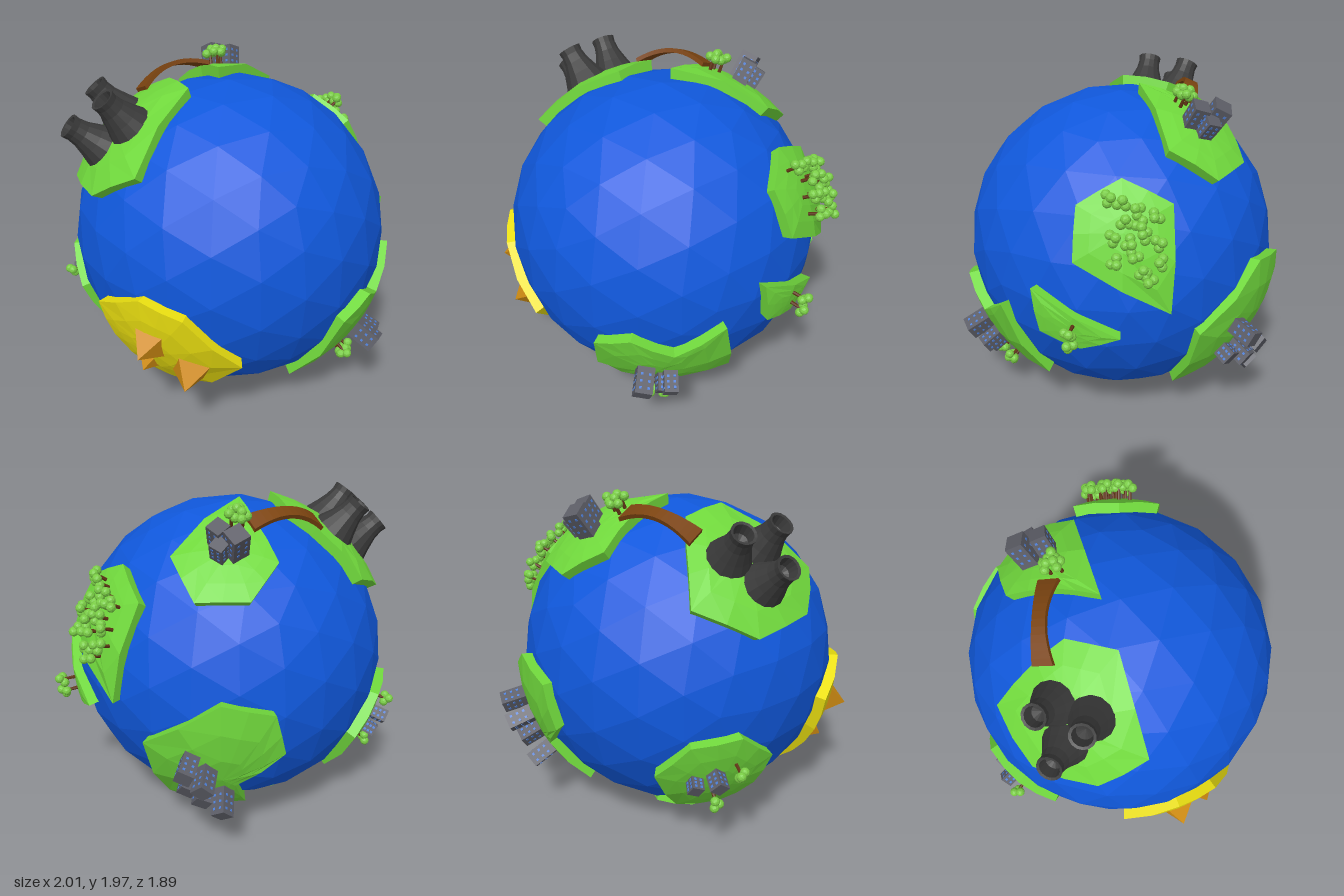
import * as THREE from 'three';

const C = new THREE.Vector3(-0.07, 0.98, 0.05); // globe centre
const SEA = 0.915, LAND = 0.965;
const V = (x, y, z) => new THREE.Vector3(x, y, z);
const mat = (color, side = THREE.FrontSide) => new THREE.MeshStandardMaterial({ color, flatShading: true, side });
const M = {
  sea: mat(0x1058dc), grass: mat(0x70d83c), sand: mat(0xeadf10), wood: mat(0x7a4310), trunk: mat(0x5e3414),
  leaf: mat(0x79cc45), rock: mat(0x3a3a3a, THREE.DoubleSide), wall: mat(0x5c5d66), glass: mat(0x4f80d8), stone: mat(0xd08c12),
};

// Directions from the globe centre; two coordinates are given, the third follows from radius r
const third = (a, b, r) => Math.sqrt(Math.max(0, r * r - a * a - b * b));
const front = (x, y, r = LAND) => V(x - C.x, y - C.y, third(x - C.x, y - C.y, r)).normalize();
const side = (z, y, r = LAND) => V(third(z - C.z, y - C.y, r), y - C.y, z - C.z).normalize();
const top = (x, z, r = LAND, s = 1) => V(x - C.x, s * third(x - C.x, z - C.z, r), z - C.z).normalize();
const under = (x, z) => top(x, z, LAND, -1);
const at = (x, y, z) => V(x, y, z).sub(C).normalize();

function mesh(name, geometry, material) {
  const m = new THREE.Mesh(geometry, material);
  m.name = name;
  return m;
}

// Stand an object on the globe, its y axis pointing outward
function place(object, dir, r, spin = 0) {
  object.position.copy(dir).multiplyScalar(r);
  object.quaternion.setFromUnitVectors(V(0, 1, 0), dir);
  object.rotateY(spin);
  return object;
}

// Raised land: rings from the middle to the outline, then a wall down into the sea
function land(name, corners, material) {
  const mid = corners.reduce((s, p) => s.add(p), V(0, 0, 0)).normalize();
  const turn = V(0, 0, 0);
  corners.forEach((p, i) => turn.add(p.clone().cross(corners[(i + 1) % corners.length])));
  if (turn.dot(mid) < 0) corners.reverse();
  const outline = [];
  corners.forEach((p, i) => {
    const q = corners[(i + 1) % corners.length];
    outline.push(p, p.clone().lerp(q, 0.5).normalize());
  });
  const n = outline.length, rings = 3, pos = [], index = [];
  const push = (d, r) => pos.push(d.x * r, d.y * r, d.z * r);
  push(mid, LAND);
  for (let k = 1; k <= rings; k++)
    for (const p of outline) push(mid.clone().lerp(p, k / rings).normalize(), LAND);
  for (const p of outline) push(p, 0.89);
  for (let i = 0; i < n; i++) {
    const j = (i + 1) % n;
    index.push(0, 1 + i, 1 + j);
    for (let k = 0; k < rings; k++) {
      const a = 1 + k * n, b = a + n;
      index.push(a + i, b + i, b + j, a + i, b + j, a + j);
    }
  }
  const g = new THREE.BufferGeometry();
  g.setAttribute('position', new THREE.Float32BufferAttribute(pos, 3));
  g.setIndex(index);
  g.computeVertexNormals();
  return mesh(name, g, material);
}

const trunkGeo = new THREE.CylinderGeometry(0.008, 0.011, 0.08, 6).translate(0, 0.04, 0);
const leafGeo = new THREE.IcosahedronGeometry(0.027, 1);
function tree() {
  const g = new THREE.Group();
  g.name = 'tree';
  g.add(mesh('trunk', trunkGeo, M.trunk));
  for (const [x, y, z] of [[0.022, 0.075, 0], [-0.018, 0.08, 0.016], [-0.004, 0.1, -0.014]]) {
    const leaf = mesh('foliage', leafGeo, M.leaf);
    leaf.position.set(x, y, z);
    g.add(leaf);
  }
  return g;
}

const paneGeo = new THREE.BoxGeometry(0.014, 0.014, 0.004);
function building(w, h) {
  const g = new THREE.Group();
  g.name = 'building';
  g.add(mesh('walls', new THREE.BoxGeometry(w, h, w).translate(0, h / 2, 0), M.wall));
  for (let f = 0; f < 4; f++) {
    const face = new THREE.Group();
    face.name = 'windows';
    face.rotation.y = f * Math.PI / 2;
    for (let row = 0; row < 3; row++)
      for (const s of [-1, 1]) {
        const pane = mesh('window', paneGeo, M.glass);
        pane.position.set(s * w * 0.23, h * (0.35 + row * 0.23), w / 2);
        face.add(pane);
      }
    g.add(face);
  }
  return g;
}

// Arched footbridge, narrower in the middle
function bridge(a, b) {
  const g = new THREE.BoxGeometry(1, 0.025, 0.11, 12, 1, 1);
  const across = b.clone().cross(a).normalize(), p = g.attributes.position;
  for (let i = 0; i < p.count; i++) {
    const t = p.getX(i) + 0.5, arch = Math.sin(t * Math.PI);
    const v = a.clone().lerp(b, t).normalize().multiplyScalar(0.972 + 0.045 * arch + p.getY(i));
    v.addScaledVector(across, -p.getZ(i) * (1.1 - 0.4 * arch));
    p.setXYZ(i, v.x, v.y, v.z);
  }
  g.computeVertexNormals();
  return mesh('bridge', g, mat(0x7a4310, THREE.DoubleSide));
}

export function createModel() {
  const model = new THREE.Group(), globe = new THREE.Group();
  model.name = 'planet';
  globe.name = 'globe';
  globe.position.copy(C);
  model.add(globe);
  globe.add(mesh('ocean', new THREE.IcosahedronGeometry(SEA, 3), M.sea));

  // Land masses
  globe.add(
    land('volcanoLand', [top(-0.67, -0.47), top(-0.46, -0.29), top(-0.34, -0.17), top(-0.34, 0.11), top(-0.76, 0.38),
      top(-0.93, 0.15), top(-0.91, -0.22)], M.grass),
    land('northLand', [top(0.07, -0.69), top(0.34, -0.59), top(0.39, -0.33), top(-0.09, -0.05), top(-0.09, -0.3),
      top(-0.13, -0.56)], M.grass),
    land('forestLand', [side(0.08, 1.53), side(-0.13, 1.65), side(-0.4, 1.53), side(-0.44, 0.98), side(0.065, 1.265)], M.grass),
    land('smallIsland', [side(0.3, 1.08), side(-0.19, 0.84), side(0.03, 0.75), side(0.26, 0.82)], M.grass),
    land('frontLand', [front(0.19, 0.75), front(0.4, 0.83), front(0.57, 0.7), front(0.77, 0.89), side(0.3, 0.38),
      front(0.19, 0.155), front(0.01, 0.26)], M.grass),
    land('southLand', [under(-0.04, 0.14), under(-0.04, -0.16), under(-0.25, -0.3), under(-0.5, -0.25), under(-0.53, 0.08),
      under(-0.3, 0.28)], M.grass),
    land('backLand', [at(0.64, 0.79, -0.58), at(0.28, 1.1, -0.84), at(0, 1.03, -0.91), at(-0.07, 0.77, -0.89),
      at(0.17, 0.53, -0.77), at(0.04, 0.26, -0.58), at(0.21, 0.23, -0.49), at(0.45, 0.31, -0.4)], M.grass),
    land('backLeftLand', [at(-0.94, 0.86, -0.35), at(-0.785, 0.83, -0.58), at(-0.6, 0.62, -0.66), at(-0.53, 0.3, -0.42),
      at(-0.67, 0.27, -0.21), at(-0.85, 0.45, -0.13), at(-0.97, 0.68, -0.13)], M.grass),
    land('desert', [front(-0.99, 0.85), front(-0.86, 0.99), front(-0.69, 0.92), front(-0.39, 0.58), front(-0.53, 0.21),
      front(-0.74, 0.37), front(-0.92, 0.62)], M.sand),
  );

  // Hollow volcano cones
  const cone = new THREE.LatheGeometry([[0.135, -0.02], [0.1, 0.06], [0.074, 0.13], [0.066, 0.18], [0.07, 0.215],
    [0.055, 0.212], [0.045, 0.15], [0, 0.12]].map(([x, y]) => new THREE.Vector2(x, y)), 14);
  for (const d of [V(-0.69, 0.9, -0.25), V(-0.88, 0.74, -0.13), V(-0.72, 0.9, 0)])
    globe.add(place(mesh('volcano', cone, M.rock), d.normalize(), 0.955));

  globe.add(bridge(top(-0.48, -0.24), top(-0.05, -0.33)));

  // Desert pyramids
  for (const [x, y, s] of [[-0.84, 0.69, 0.115], [-0.64, 0.51, 0.125], [-0.81, 0.49, 0.07]]) {
    const g = new THREE.ConeGeometry(s, s * 1.1, 4).rotateY(Math.PI / 4).translate(0, s * 0.55, 0);
    globe.add(place(mesh('pyramid', g, M.stone), front(x, y, 1), 0.955, 0.5));
  }

  // Trees
  const forest = [[-0.1, 1.6], [-0.17, 1.58], [-0.25, 1.55], [-0.34, 1.52], [-0.27, 1.49], [-0.15, 1.43], [-0.2, 1.5],
    [-0.3, 1.44], [-0.26, 1.35], [-0.17, 1.32], [-0.37, 1.4], [-0.31, 1.27], [-0.39, 1.31], [-0.34, 1.23], [-0.23, 1.41]];
  const trees = [
    ...forest.map(([z, y]) => side(z, y, 1.04)),
    side(0.06, 0.9, 1.04), side(0.06, 0.82, 1.04),
    top(0, -0.37, 1.05), top(0.06, -0.35, 1.05), top(0.02, -0.31, 1.05),
    front(0.39, 0.3, 1.05), front(0.45, 0.28, 1.05), front(0.41, 0.25, 1.05),
    V(-0.9, -0.325, -0.43).normalize(), V(-0.75, -0.57, -0.456).normalize(),
  ];
  trees.forEach((d, i) => globe.add(place(tree(), d, 0.955, i * 1.3)));

  // Town buildings: direction, width, height
  const towns = [
    [front(0.45, 0.49, 1.07), 0.1, 0.17], [front(0.5, 0.4, 1.06), 0.08, 0.12], [front(0.55, 0.45, 1.06), 0.08, 0.14],
    [top(0.1, -0.55, 1.1), 0.1, 0.18], [top(0.17, -0.46, 1.1), 0.09, 0.15], [top(0.19, -0.54, 1.1), 0.08, 0.13],
    [V(-0.82, -0.38, -0.52).normalize(), 0.075, 0.12], [V(-0.73, -0.42, -0.6).normalize(), 0.07, 0.09],
  ];
  // Back town, laid out on a tangent grid
  const u = V(-0.707, 0, -0.707), v = V(0.354, 0.866, -0.354), w = V(0.612, -0.5, -0.612);
  for (const [a, b, h] of [[0.24, 0.28, 0.16], [0.32, 0.18, 0.17], [0.2, 0.07, 0.1], [0.29, 0.05, 0.15], [0.37, -0.07, 0.17]]) {
    const d = u.clone().multiplyScalar(a).addScaledVector(v, b).addScaledVector(w, third(a, b, 1.07));
    towns.push([d.normalize(), 0.09, h]);
  }
  towns.forEach(([d, size, h], i) => globe.add(place(building(size, h), d, 0.945, 0.3 + (i % 3) * 0.15)));

  return model;
}
